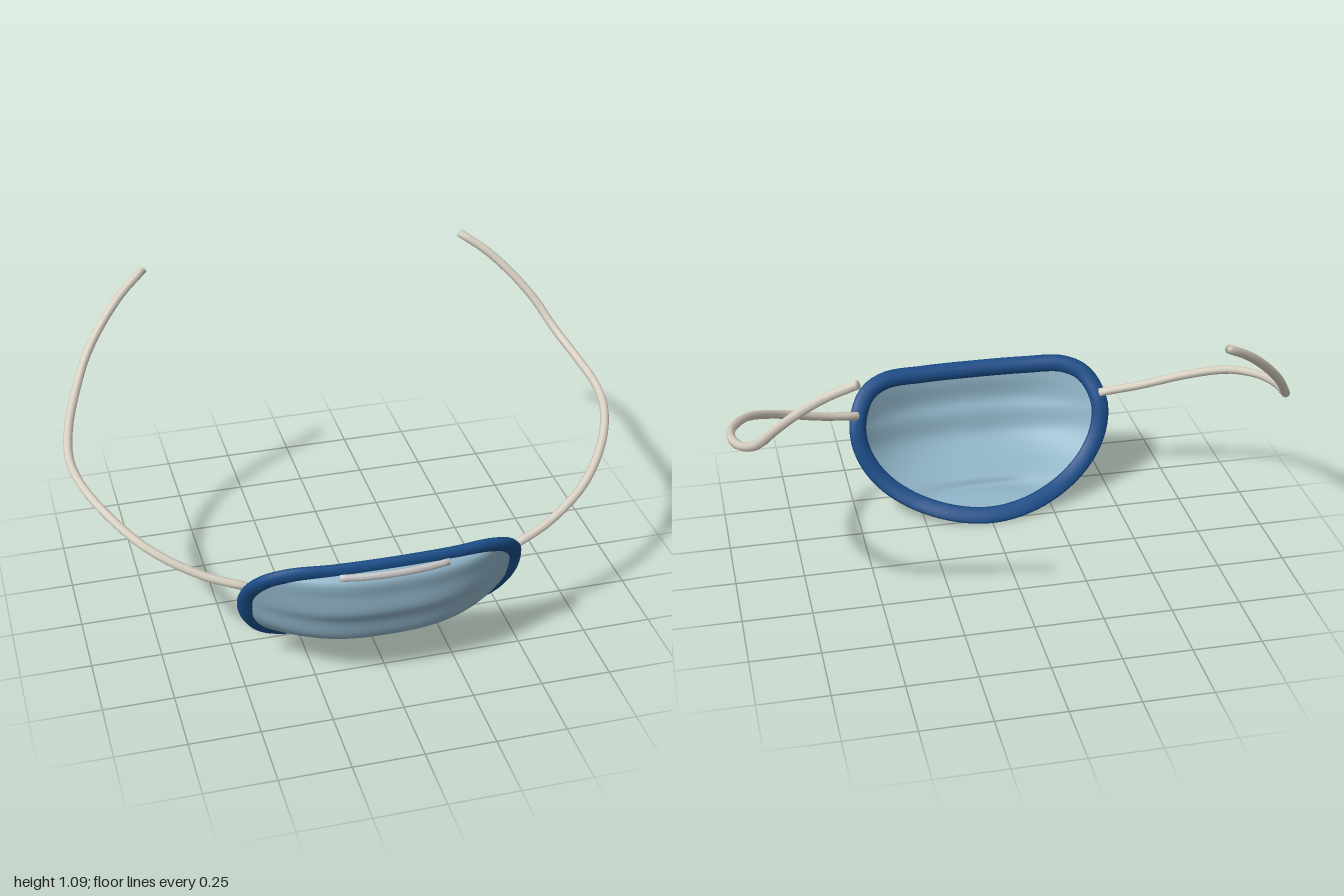
import * as THREE from 'three';

const V = (a) => new THREE.Vector3(...a);
const paint = (color) => new THREE.MeshStandardMaterial({ color, side: THREE.DoubleSide });

function buildMesh(name, positions, index, material) {
  const geo = new THREE.BufferGeometry();
  geo.setAttribute('position', new THREE.Float32BufferAttribute(positions, 3));
  geo.setIndex(index);
  geo.computeVertexNormals();
  const mesh = new THREE.Mesh(geo, material);
  mesh.name = name;
  return mesh;
}

// Elliptical band swept along a curve; its wide axis (w) points toward aim, t(y) is the thin half-size
function sweep(name, points, { closed = false, w, t, aim, steps, sides, material }) {
  const curve = new THREE.CatmullRomCurve3(points.map(V), closed);
  const target = V(aim);
  const rings = [];
  for (let i = 0; i <= steps; i++) rings.push([i / steps, 1]);
  if (closed) rings.pop();
  else { rings.unshift([0, 0]); rings.push([1, 0]); } // closed ends
  const pos = [], index = [];
  for (const [u, s] of rings) {
    const p = curve.getPointAt(u), T = curve.getTangentAt(u);
    const D = target.clone().sub(p);
    D.addScaledVector(T, -D.dot(T)).normalize();
    const N = T.clone().cross(D);
    for (let j = 0; j < sides; j++) {
      const a = (j / sides) * Math.PI * 2;
      const q = p.clone().addScaledVector(D, Math.cos(a) * w * s).addScaledVector(N, Math.sin(a) * t(p.y) * s);
      pos.push(q.x, q.y, q.z);
    }
  }
  const n = rings.length;
  for (let i = 0; i < (closed ? n : n - 1); i++) {
    for (let j = 0; j < sides; j++) {
      const k = (j + 1) % sides, m = (i + 1) % n;
      const a = i * sides + j, b = i * sides + k, c = m * sides + j, d = m * sides + k;
      index.push(a, b, c, b, d, c);
    }
  }
  return buildMesh(name, pos, index, material);
}

// Pleated cup: each row runs from the rim, over a centre profile point, to the other side
function cup(material) {
  // edge x, y, z, then centre y, z
  const rows = [
    [0.35, 0.49, 0.56, 0.495, 0.59],
    [0.405, 0.47, 0.545, 0.465, 0.638],
    [0.455, 0.42, 0.503, 0.4, 0.636],
    [0.478, 0.36, 0.462, 0.33, 0.634],
    [0.478, 0.32, 0.447, 0.28, 0.609],
    [0.468, 0.25, 0.425, 0.2, 0.585],
    [0.423, 0.17, 0.39, 0.145, 0.51],
    [0.34, 0.105, 0.35, 0.1, 0.41],
    [0.27, 0.07, 0.315, 0.073, 0.392],
    [0.2, 0.05, 0.285, 0.07, 0.335],
    [0.12, 0.035, 0.25, 0.025, 0.235],
  ];
  const edge = new THREE.CatmullRomCurve3(rows.map((r) => V(r.slice(0, 3))));
  const middle = new THREE.CatmullRomCurve3(rows.map((r) => V([0, r[3], r[4]])));
  const nv = 50, nu = 40, pos = [], index = [];
  for (let i = 0; i <= nv; i++) {
    const P = edge.getPoint(i / nv), C = middle.getPoint(i / nv);
    for (let j = 0; j <= nu; j++) {
      const u = (j / nu) * 2 - 1;
      const f = 1 - Math.pow(Math.abs(u), 2.6);
      pos.push(u * P.x, P.y + (C.y - P.y) * f, P.z + (C.z - P.z) * f);
      if (i < nv && j < nu) {
        const a = i * (nu + 1) + j, b = a + nu + 1;
        index.push(a, b, a + 1, b, b + 1, a + 1);
      }
    }
  }
  return buildMesh('maskCup', pos, index, material);
}

export function createModel() {
  const model = new THREE.Group();
  model.name = 'faceMask';
  const cloth = paint(0x8fb3c6), trim = paint(0x1a4d88), cord = paint(0xd9d2c4), metal = paint(0xe8e8e8);
  const mirror = (pts) => pts.map(([x, y, z]) => [-x, y, z]);

  model.add(cup(cloth));

  // Edge binding around the cup, thinner toward the chin
  const half = [
    [0.2, 0.487, 0.577], [0.35, 0.485, 0.558], [0.428, 0.45, 0.525], [0.474, 0.36, 0.463],
    [0.465, 0.26, 0.427], [0.407, 0.16, 0.385], [0.3, 0.083, 0.33], [0.15, 0.039, 0.268],
  ];
  const loop = [[0, 0.487, 0.583], ...half, [0, 0.025, 0.245], ...mirror(half).reverse()];
  model.add(sweep('edgeBinding', loop, {
    closed: true, w: 0.033, t: (y) => 0.01 + 0.025 * y, aim: [0, 0.28, 0.5], steps: 96, sides: 10, material: trim,
  }));

  // Nose strip
  const strip = [[-0.19, 0.485, 0.616], [-0.1, 0.484, 0.629], [0, 0.484, 0.634], [0.1, 0.484, 0.629], [0.19, 0.485, 0.616]];
  model.add(sweep('noseStrip', strip, {
    w: 0.014, t: () => 0.01, aim: [0, -50, 0.6], steps: 16, sides: 8, material: metal,
  }));

  // Ear cords
  const strap = [
    [0.475, 0.395, 0.46], [0.62, 0.435, 0.41], [0.78, 0.508, 0.32], [0.9, 0.585, 0.18], [0.968, 0.632, 0.02],
    [0.982, 0.658, -0.1], [0.958, 0.7, -0.25], [0.908, 0.77, -0.38], [0.86, 0.85, -0.45],
    [0.795, 0.93, -0.51], [0.7, 1.02, -0.578], [0.605, 1.083, -0.633],
  ];
  const opts = { w: 0.016, t: () => 0.016, aim: [0, 0.6, 0], steps: 36, sides: 8, material: cord };
  model.add(sweep('leftEarCord', strap, opts), sweep('rightEarCord', mirror(strap), opts));
  return model;
}
